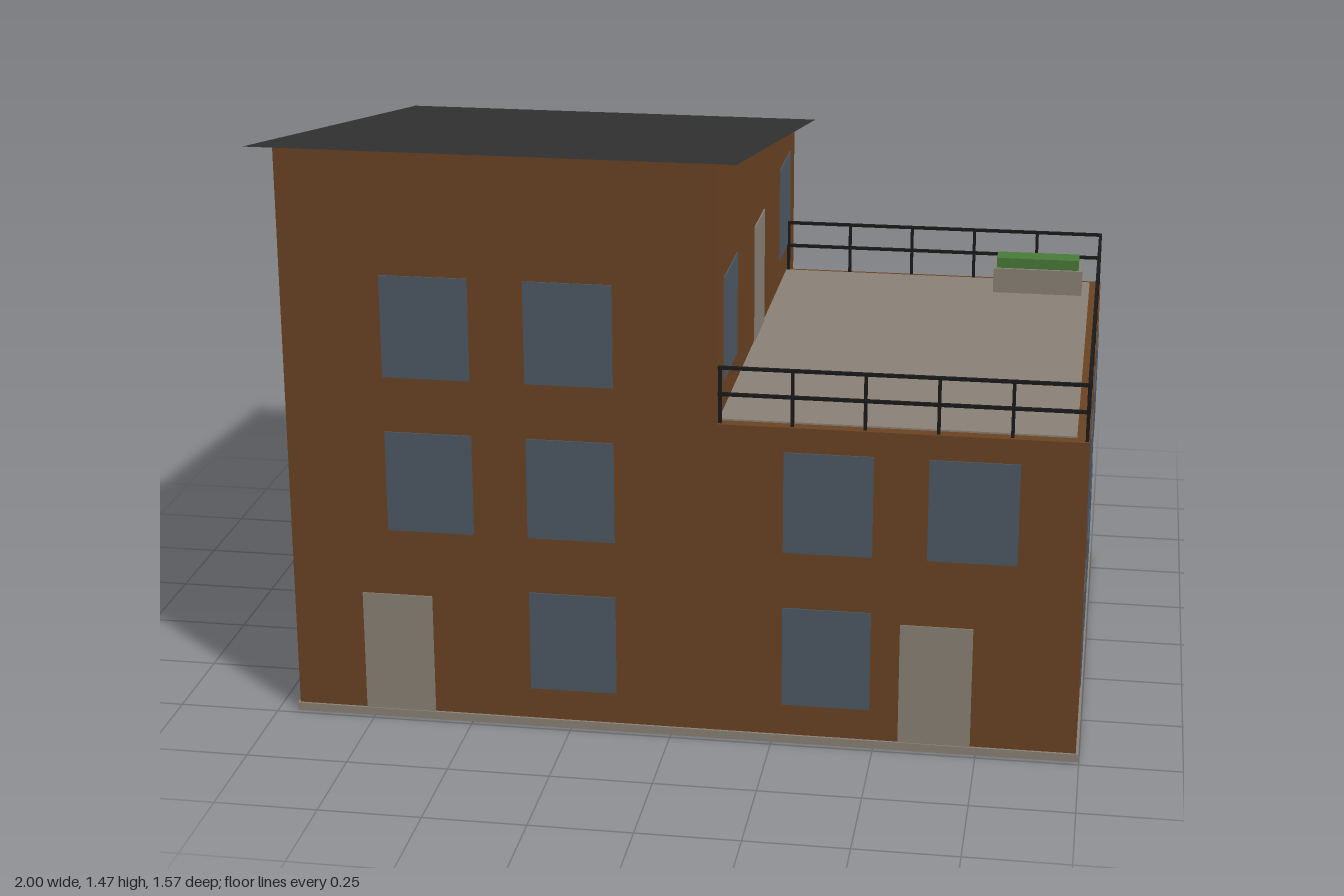
import * as THREE from 'three';

const mat = (name, color, side = THREE.FrontSide) => {
  const m = new THREE.MeshStandardMaterial({ color, side });
  m.name = name;
  return m;
};

export function createModel() {
  const brick = mat('brown wall', 0x6b4423);
  const stone = mat('warm grey', 0x8c8378);
  const glass = mat('blue grey glass', 0x4f5b66);
  const slate = mat('dark roof', 0x333333, THREE.DoubleSide);
  const iron = mat('black rail', 0x1a1a1a);
  const leaf = mat('green plants', 0x4a7c3a);

  const model = new THREE.Group();
  model.name = 'house';

  // Box given by its limits on each axis
  const box = (name, material, [x0, x1], [y0, y1], [z0, z1], parent = model) => {
    const mesh = new THREE.Mesh(new THREE.BoxGeometry(x1 - x0, y1 - y0, z1 - z0), material);
    mesh.position.set((x0 + x1) / 2, (y0 + y1) / 2, (z0 + z1) / 2);
    mesh.name = name;
    parent.add(mesh);
    return mesh;
  };

  const X0 = -0.945, XM = 0.115, X1 = 0.992; // tower left, shared wall, annex right
  const ZF = 0.73, ZB = -0.73, ZA = -0.595;  // front, tower back, annex back
  const DECK = 0.818;
  const roofY = z => 1.336 + 0.166 * z;

  // Plinth
  box('towerPlinth', stone, [X0 - 0.006, XM + 0.002], [0, 0.02], [ZB - 0.006, ZF + 0.006]);
  box('annexPlinth', stone, [XM + 0.002, 0.998], [0, 0.02], [ZA - 0.006, ZF + 0.006]);

  // Tower with sloping top
  const tower = box('towerWalls', brick, [X0, XM], [0.02, 1], [ZB, ZF]);
  const p = tower.geometry.attributes.position;
  for (let i = 0; i < p.count; i++) {
    if (p.getY(i) > 0) p.setY(i, roofY(p.getZ(i)) - 0.002 - tower.position.y);
  }
  tower.geometry.computeVertexNormals();

  // Thin overhanging roof sheet
  const sheet = new THREE.PlaneGeometry(1.168, 1.57);
  sheet.rotateX(-Math.PI / 2);
  const r = sheet.attributes.position;
  for (let i = 0; i < r.count; i++) r.setY(i, roofY(r.getZ(i)));
  sheet.computeVertexNormals();
  const roof = new THREE.Mesh(sheet, slate);
  roof.position.x = -0.416;
  roof.name = 'roof';
  model.add(roof);

  // Annex with roof terrace
  box('annexWalls', brick, [XM, X1], [0.02, DECK], [ZA, ZF]);
  box('terraceFloor', stone, [XM, 0.962], [DECK, DECK + 0.004], [-0.572, 0.7]);

  // Windows and doors: thin plates on a wall facing +z, -z, +x or -x
  const openings = new THREE.Group();
  openings.name = 'windowsAndDoors';
  model.add(openings);
  const plate = (name, material, face, at, c, w, y0, y1) => {
    const across = [c - w / 2, c + w / 2];
    const deep = [at - 0.003, at + 0.003];
    if (face === 'z') box(name, material, across, [y0, y1], deep, openings);
    else box(name, material, deep, [y0, y1], across, openings);
  };
  const rows = [0.1, 0.5, 0.895];
  const windowAt = (face, at, c, row) =>
    plate('window', glass, face, at, c, 0.215, rows[row], rows[row] + 0.256);
  const doorAt = (face, at, c, y) => plate('door', stone, face, at, c, 0.176, y, y + 0.31);

  for (const z of [ZF, ZB]) {
    for (const row of [0, 1, 2]) {
      windowAt('z', z, -0.243, row);
      if (row > 0) windowAt('z', z, -0.592, row);
    }
    doorAt('z', z, -0.683, 0.02);
  }
  for (const row of [0, 1]) {
    windowAt('z', ZF, 0.382, row);
    for (const x of [0.382, 0.728]) windowAt('z', ZA, x, row);
    for (const z of [0.416, 0.068, -0.278]) windowAt('x', X1, z, row);
  }
  windowAt('z', ZF, 0.728, 1);
  doorAt('z', ZF, 0.648, 0.02);
  for (const row of [0, 1, 2]) {
    for (const z of [-0.52, -0.173, 0.173, 0.52]) windowAt('x', X0, z, row);
  }
  for (const z of [0.52, -0.518]) windowAt('x', XM, z, 2);
  doorAt('x', XM, 0.002, DECK);

  // Railing on three sides of the terrace
  const railing = new THREE.Group();
  railing.name = 'railing';
  model.add(railing);
  const h = 0.004;
  const post = (x, z) =>
    box('railPost', iron, [x - h, x + h], [DECK, 0.957], [z - h, z + h], railing);
  const railX = 0.986, frontZ = 0.718, backZ = -0.582;
  for (const z of [frontZ, backZ]) {
    for (let i = 0; i <= 5; i++) post(0.12 + (railX - 0.12) * i / 5, z);
  }
  for (let i = 0; i <= 7; i++) post(railX, 0.7 - 1.265 * i / 7);
  for (const y of [0.89, 0.956]) {
    const yy = [y - h, y + h];
    for (const z of [frontZ, backZ]) {
      box('rail', iron, [XM, railX + h], yy, [z - h, z + h], railing);
    }
    box('rail', iron, [railX - h, railX + h], yy, [backZ, frontZ], railing);
  }

  // Planter
  box('planterBox', stone, [0.702, 0.942], [DECK, 0.89], [-0.518, -0.438]);
  box('planterPlants', leaf, [0.71, 0.932], [0.89, 0.918], [-0.51, -0.446]);

  return model;
}
